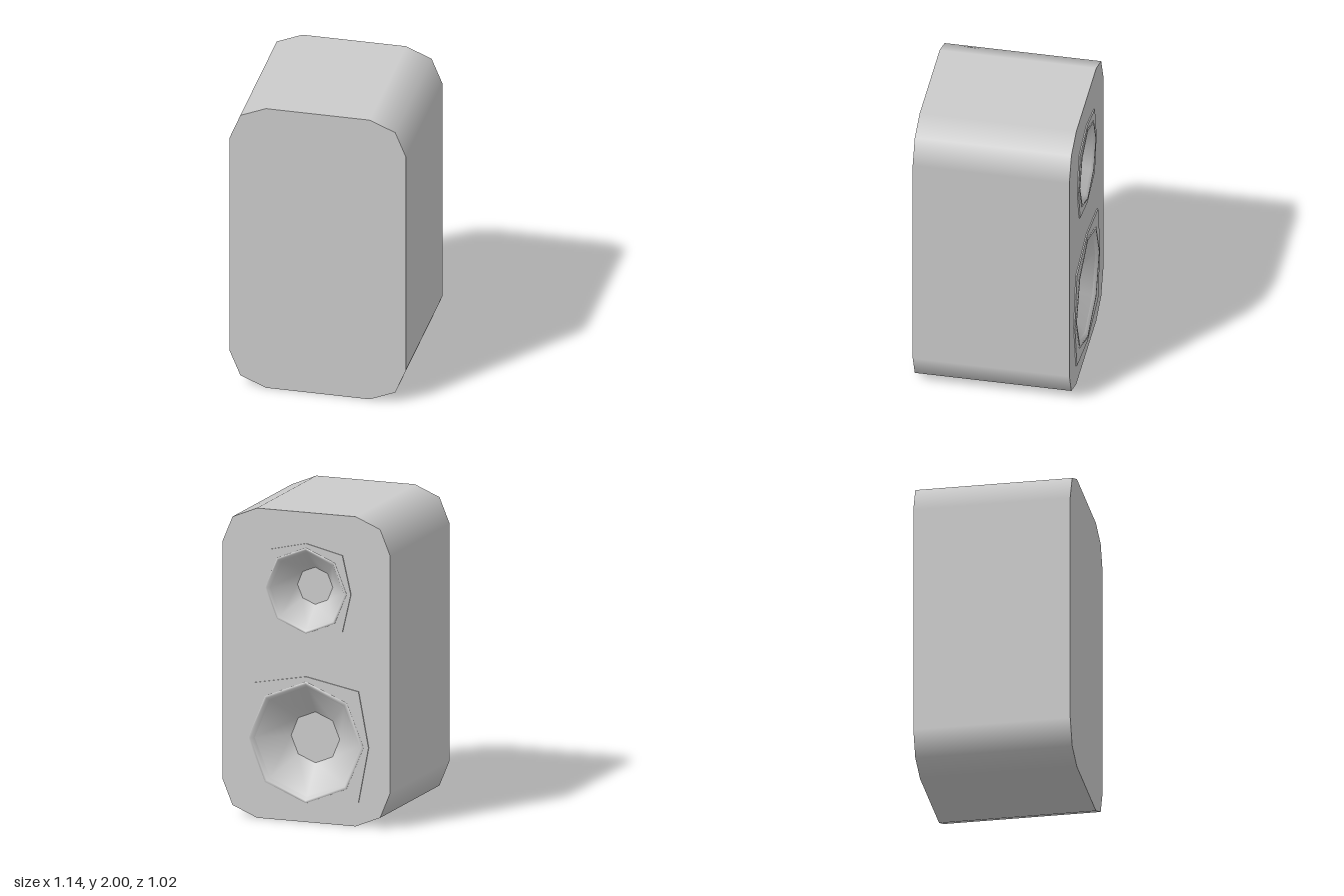
import * as THREE from 'three';

const grey = new THREE.MeshStandardMaterial({ color: 0xcccccc });
const FRONT = 0.508, BACK = -0.497;

function addMesh(parent, geometry, name) {
  const mesh = new THREE.Mesh(geometry, grey);
  mesh.name = name;
  parent.add(mesh);
  return mesh;
}

// Ring of eight points; the diagonal ones may lie further out
function ring(r, diagonal = r, y = 0) {
  return Array.from({ length: 8 }, (_, i) => {
    const a = i * Math.PI / 4, d = i % 2 ? diagonal : r;
    return new THREE.Vector2(d * Math.cos(a), y + d * Math.sin(a));
  });
}

// Rounded-rectangle outline, counter-clockwise, with arc normals
function cabinetOutline() {
  const r = 0.235, cx = 0.335, cy = 0.765, points = [];
  for (let corner = 0; corner < 4; corner++) {
    const sx = corner === 0 || corner === 3 ? 1 : -1, sy = corner < 2 ? 1 : -1;
    for (let k = 0; k < 3; k++) {
      const a = (corner * 2 + k) * Math.PI / 4;
      const n = new THREE.Vector2(Math.cos(a), Math.sin(a));
      points.push({ n, p: new THREE.Vector2(sx * cx + r * n.x, 1 + sy * cy + r * n.y) });
    }
  }
  return points;
}

// Smooth wall running from the front panel to the back panel
function wallGeometry(outline) {
  const position = [], normal = [], index = [];
  outline.forEach(({ p, n }, i) => {
    position.push(p.x, p.y, FRONT, p.x, p.y, BACK);
    normal.push(n.x, n.y, 0, n.x, n.y, 0);
    const a = i * 2, b = ((i + 1) % outline.length) * 2;
    index.push(a, a + 1, b, b, a + 1, b + 1);
  });
  const g = new THREE.BufferGeometry();
  g.setAttribute('position', new THREE.Float32BufferAttribute(position, 3));
  g.setAttribute('normal', new THREE.Float32BufferAttribute(normal, 3));
  g.setIndex(index);
  return g;
}

// Eight-sided turned part whose axis points out of the back panel
function turned(points) {
  const g = new THREE.LatheGeometry(points.map(([r, h]) => new THREE.Vector2(r, h)), 8);
  return g.rotateX(-Math.PI / 2);
}

function createDriver({ name, y, plate, corner, rim, lip, cap, depth }) {
  const driver = new THREE.Group();
  driver.name = name;
  driver.position.set(0, y, BACK);

  // Thin mounting plate with an opening for the cone
  const shape = new THREE.Shape(ring(plate, corner));
  shape.holes.push(new THREE.Path(ring(rim - 0.005)));
  const plateGeometry = new THREE.ExtrudeGeometry(shape, { depth: 0.008, bevelEnabled: false });
  addMesh(driver, plateGeometry.translate(0, 0, -0.008), 'mountingPlate');

  // Rim, cone and flat centre
  const mid = (rim + lip) / 2;
  addMesh(driver, turned([[rim, 0], [rim - 0.004, 0.011], [mid, 0.011], [lip, -0.01]]), 'rim');
  addMesh(driver, turned([[lip, -0.01], [cap, -depth]]), 'cone');
  addMesh(driver, turned([[cap, -depth], [0, -depth]]), 'centreCap');
  return driver;
}

export function createModel() {
  const model = new THREE.Group();
  model.name = 'loudspeaker';
  const drivers = [
    { name: 'upperDriver', y: 1.495, plate: 0.305, corner: 0.35, rim: 0.28, lip: 0.245, cap: 0.12, depth: 0.15 },
    { name: 'lowerDriver', y: 0.515, plate: 0.425, corner: 0.505, rim: 0.395, lip: 0.355, cap: 0.165, depth: 0.155 },
  ];

  // Cabinet
  const outline = cabinetOutline(), points = outline.map(o => o.p);
  const cabinet = new THREE.Group();
  cabinet.name = 'cabinet';
  addMesh(cabinet, wallGeometry(outline), 'wall');
  addMesh(cabinet, new THREE.ShapeGeometry(new THREE.Shape(points)), 'frontPanel').position.z = FRONT;

  // Driver panel, symmetric in x, turned to face -z
  const panel = new THREE.Shape(points);
  drivers.forEach(d => panel.holes.push(new THREE.Path(ring(d.rim, d.rim, d.y))));
  const back = addMesh(cabinet, new THREE.ShapeGeometry(panel), 'driverPanel');
  back.rotation.y = Math.PI;
  back.position.z = BACK;
  model.add(cabinet);

  drivers.forEach(d => model.add(createDriver(d)));
  return model;
}
